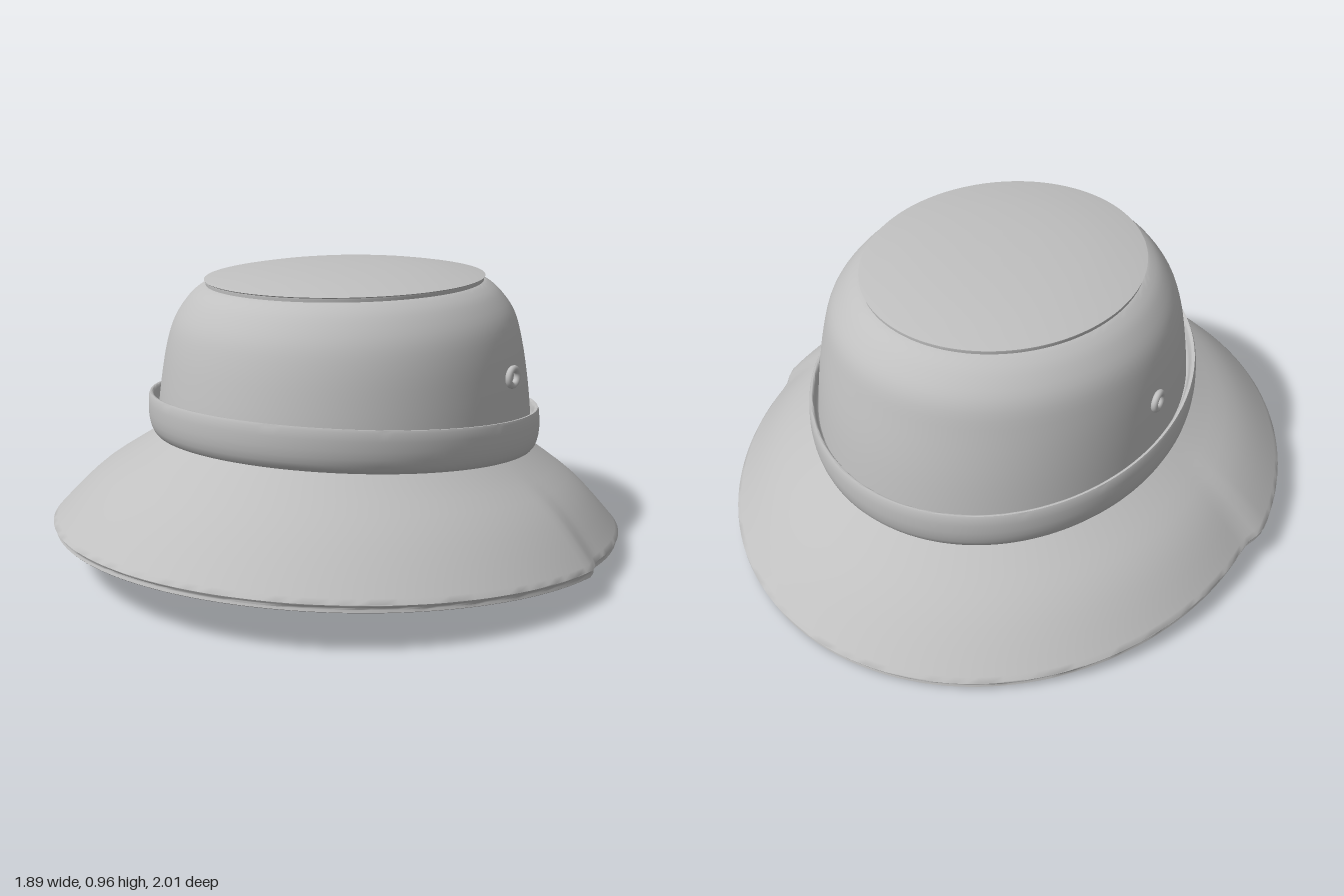
import * as THREE from 'three';
import { toCreasedNormals } from 'three/addons/utils/BufferGeometryUtils.js';

const SEG = 160;

// Loft through elliptical rings [rx, rz, zCentre, y, slope towards +z].
// flare(x, z) optionally gives an extra sideways scale.
function loft(rings, steps, crease, flare) {
  const size = new THREE.CatmullRomCurve3(rings.map(r => new THREE.Vector3(r[0], r[3], r[1])));
  const lean = new THREE.CatmullRomCurve3(rings.map(r => new THREE.Vector3(r[2], r[4], 0)));
  // Sample by ring index so that both curves stay in step
  size.curveType = lean.curveType = 'catmullrom';
  size.tension = lean.tension = 0.5;
  const rows = (rings.length - 1) * steps;
  const pos = [], index = [];
  for (let i = 0; i <= rows; i++) {
    const s = size.getPoint(i / rows), l = lean.getPoint(i / rows);
    for (let j = 0; j < SEG; j++) {
      const a = (j / SEG) * Math.PI * 2;
      let x = Math.cos(a) * s.x;
      const z = Math.sin(a) * s.z + l.x;
      if (flare) x *= flare(x, z, s.x);
      pos.push(x, s.y + z * l.y, z);
      if (i < rows) {
        const p = i * SEG + j, q = i * SEG + (j + 1) % SEG;
        index.push(p, p + SEG, q, q, p + SEG, q + SEG);
      }
    }
  }
  const geo = new THREE.BufferGeometry();
  geo.setAttribute('position', new THREE.Float32BufferAttribute(pos, 3));
  geo.setIndex(index);
  return toCreasedNormals(geo, crease);
}

export function createModel() {
  const hat = new THREE.Group();
  hat.name = 'bucketHat';
  const cloth = new THREE.MeshStandardMaterial({ color: 0xc0c0c0 });
  cloth.name = 'grey cloth';

  const add = (name, geo) => {
    const mesh = new THREE.Mesh(geo, cloth);
    mesh.name = name;
    hat.add(mesh);
    return mesh;
  };

  // Crown wall, rounding over into the shoulder
  add('crown', loft([
    [0.610, 0.675, -0.020, 0.35, 0.10],
    [0.602, 0.667, -0.020, 0.46, 0.09],
    [0.590, 0.650, -0.018, 0.58, 0.05],
    [0.571, 0.625, -0.015, 0.70, 0.02],
    [0.543, 0.598, -0.015, 0.79, 0],
    [0.495, 0.550, -0.013, 0.858, 0],
    [0.452, 0.508, -0.012, 0.892, 0],
    [0.425, 0.480, -0.012, 0.902, 0],
  ], 4, 0.7));

  // Slightly domed top panel with a raised edge
  add('topPanel', loft([
    [0.440, 0.493, -0.012, 0.895, 0],
    [0.441, 0.494, -0.012, 0.910, 0],
    [0.432, 0.485, -0.012, 0.916, 0],
    [0.300, 0.337, -0.012, 0.938, 0],
    [0.150, 0.168, -0.012, 0.951, 0],
    [0.001, 0.001, -0.012, 0.955, 0],
  ], 3, 0.8));

  // Band standing slightly off the crown
  add('band', loft([
    [0.590, 0.655, -0.02, 0.362, 0.1],
    [0.612, 0.678, -0.02, 0.370, 0.1],
    [0.627, 0.692, -0.018, 0.395, 0.1],
    [0.633, 0.700, -0.018, 0.440, 0.1],
    [0.629, 0.698, -0.018, 0.497, 0.1],
    [0.621, 0.690, -0.018, 0.506, 0.1],
    [0.613, 0.682, -0.018, 0.497, 0.1],
    [0.606, 0.673, -0.02, 0.465, 0.1],
    [0.590, 0.655, -0.02, 0.455, 0.1],
  ], 2, 0.7));

  // Brim: the front half is a touch wider, with a small step at each side
  const step = (x, z, r) => {
    const start = x > 0 ? -0.10 : -0.02;
    const front = THREE.MathUtils.smoothstep(z, start, start + 0.1);
    const rim = THREE.MathUtils.smoothstep(r, 0.62, 0.91);
    return 1 + 0.033 * front * rim;
  };
  add('brim', loft([
    [0.590, 0.652, -0.02, 0.350, 0.1],
    [0.765, 0.830, -0.01, 0.222, 0.088],
    [0.895, 0.982, 0, 0.076, 0.075],
    [0.905, 0.994, 0, 0.080, 0.075],
    [0.910, 1.000, 0, 0.092, 0.075],
    [0.902, 0.991, 0, 0.106, 0.075],
    [0.775, 0.848, -0.01, 0.247, 0.088],
    [0.605, 0.672, -0.02, 0.372, 0.1],
  ], 4, 0.9, step));

  // Inside of the crown
  add('lining', loft([
    [0.001, 0.001, -0.012, 0.935, 0],
    [0.300, 0.337, -0.012, 0.918, 0],
    [0.430, 0.485, -0.012, 0.885, 0],
    [0.525, 0.580, -0.015, 0.785, 0],
    [0.555, 0.610, -0.015, 0.70, 0.02],
    [0.575, 0.635, -0.018, 0.58, 0.05],
    [0.590, 0.652, -0.02, 0.350, 0.1],
  ], 3, 0.7));

  // Ventilation eyelets on both sides
  for (const side of [1, -1]) {
    const eyelet = add(side > 0 ? 'leftEyelet' : 'rightEyelet',
      new THREE.TorusGeometry(0.027, 0.011, 12, 32));
    eyelet.position.set(side * 0.594, 0.63, -0.095);
    eyelet.rotation.set(0, side * Math.PI / 2, 0);
  }
  return hat;
}
